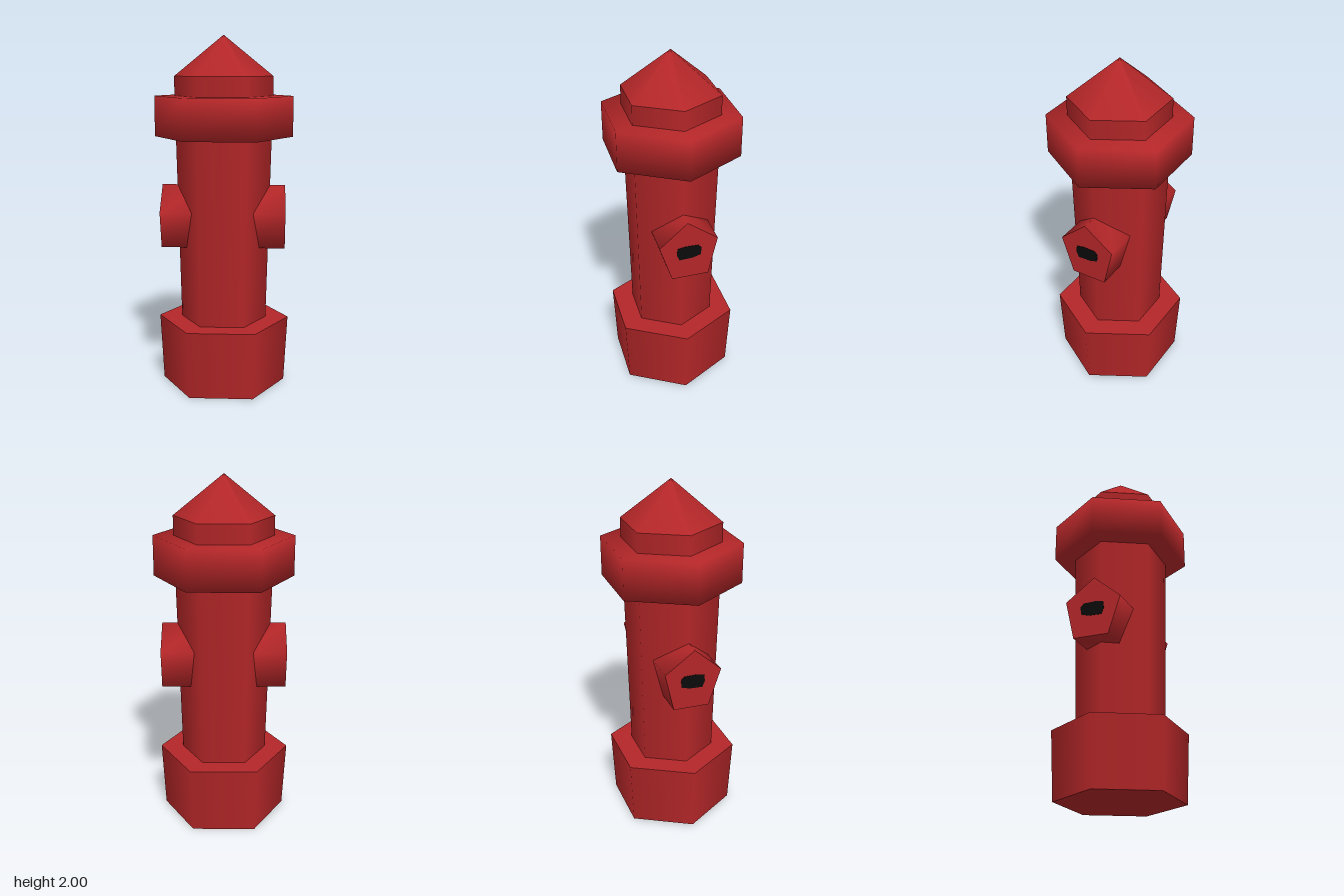
import * as THREE from 'three';
import { mergeVertices, toCreasedNormals } from 'three/addons/utils/BufferGeometryUtils.js';

// Hexagonal section with corners on the x axis, smooth around its sides
function hexSection(rTop, rBottom, y0, y1) {
  const g = new THREE.CylinderGeometry(rTop, rBottom, y1 - y0, 6, 1, false, Math.PI / 2);
  g.translate(0, (y0 + y1) / 2, 0);
  return g;
}

// Weld all corners so shading flows over the edges
function weld(g) {
  g.deleteAttribute('normal');
  g.deleteAttribute('uv');
  const welded = mergeVertices(g, 1e-4);
  welded.computeVertexNormals();
  return welded;
}

// Prism along x from a [z, y] outline, on the given side
function sidePrism(outline, side, x0, x1) {
  const shape = new THREE.Shape(outline.map(([z, y]) => new THREE.Vector2(-side * z, y)));
  const g = new THREE.ExtrudeGeometry(shape, { depth: x1 - x0, bevelEnabled: false });
  g.translate(0, 0, x0);
  g.rotateY(side * Math.PI / 2);
  return g;
}

export function createModel() {
  const model = new THREE.Group();
  model.name = 'hydrant';
  const red = new THREE.MeshStandardMaterial({ color: 0xb32628 });
  red.name = 'red paint';
  const black = new THREE.MeshStandardMaterial({ color: 0x0a0a0a });
  black.name = 'black';

  const add = (name, geometry, material = red) => {
    const mesh = new THREE.Mesh(geometry, material);
    mesh.name = name;
    model.add(mesh);
  };

  // Central column, bottom to top
  add('base', hexSection(0.375, 0.355, 0, 0.385));
  add('barrel', hexSection(0.271, 0.245, 0.38, 1.45));
  add('collar', weld(hexSection(0.39, 0.39, 1.44, 1.667)));
  add('capRim', hexSection(0.277, 0.277, 1.66, 1.776));
  add('capCone', hexSection(0, 0.277, 1.776, 2));

  // Five-sided outlets with a dark opening, one on each side
  const outlet = [[0, 1.165], [0.155, 1.025], [0.085, 0.815], [-0.12, 0.822], [-0.17, 1.045]];
  const opening = [[0.06, 0.97], [0.055, 1.008], [0.01, 1.018], [-0.06, 1.018],
    [-0.08, 0.998], [-0.075, 0.955], [-0.03, 0.94], [0.045, 0.935]];
  for (const [label, side] of [['left', 1], ['right', -1]]) {
    add(label + 'Outlet', toCreasedNormals(sidePrism(outlet, side, 0.1, 0.35), 1.4));
    add(label + 'Opening', sidePrism(opening, side, 0.348, 0.352), black);
  }
  return model;
}
